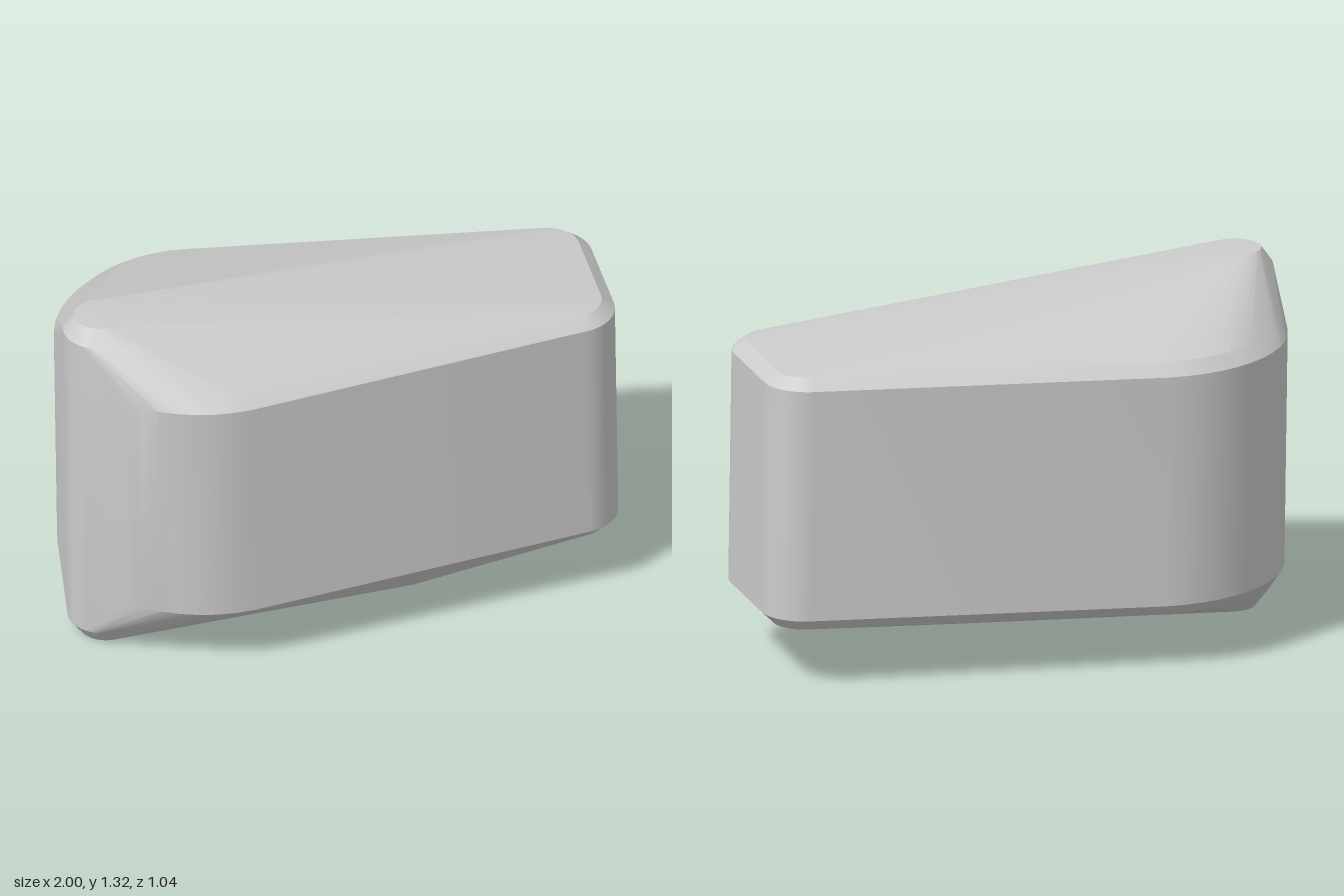
import * as THREE from 'three';
import { ConvexGeometry } from 'three/addons/geometries/ConvexGeometry.js';
import { toCreasedNormals } from 'three/addons/utils/BufferGeometryUtils.js';

// Bevelled posts [centre x, centre z, rings of [radius, height]]; the body is stretched around them
const POSTS = [
  // broad rounded end
  [-0.467, 0, [[0.475, 0.205], [0.518, 0.245], [0.518, 1.095], [0.475, 1.14]]],
  // tall narrow corner
  [-0.8575, 0.14, [[0.092, 0.003], [0.135, 0.06], [0.135, 1.27], [0.094, 1.328]]],
  // two corners of the blunt end
  [0.833, -0.182, [[0.114, 0.22], [0.16, 0.265], [0.16, 1.117], [0.114, 1.155]]],
  [0.833, 0.167, [[0.114, 0.22], [0.16, 0.265], [0.16, 1.117], [0.114, 1.155]]],
];

// Corners of the tapered underside
const UNDERSIDE = [
  [0.9, 0.182, 0.1], [0.9, 0.182, -0.04],
  [0.22, 0.13, 0.315], [0.25, 0.175, -0.275],
];

function createBody() {
  const points = UNDERSIDE.map((p) => new THREE.Vector3(...p));
  const sides = 48;
  for (const [cx, cz, rings] of POSTS) {
    for (const [r, y] of rings) {
      for (let i = 0; i < sides; i++) {
        const a = (i / sides) * Math.PI * 2;
        points.push(new THREE.Vector3(cx + r * Math.cos(a), y, cz + r * Math.sin(a)));
      }
    }
  }
  // the whole body leans slightly towards the tall corner
  for (const p of points) p.x -= 0.014 * (p.y - 0.665);
  return toCreasedNormals(new ConvexGeometry(points), 0.3);
}

export function createModel() {
  const group = new THREE.Group();
  group.name = 'taperedBlock';
  const body = new THREE.Mesh(createBody(), new THREE.MeshStandardMaterial({ color: 0xcccccc }));
  body.name = 'body';
  group.add(body);
  return group;
}
